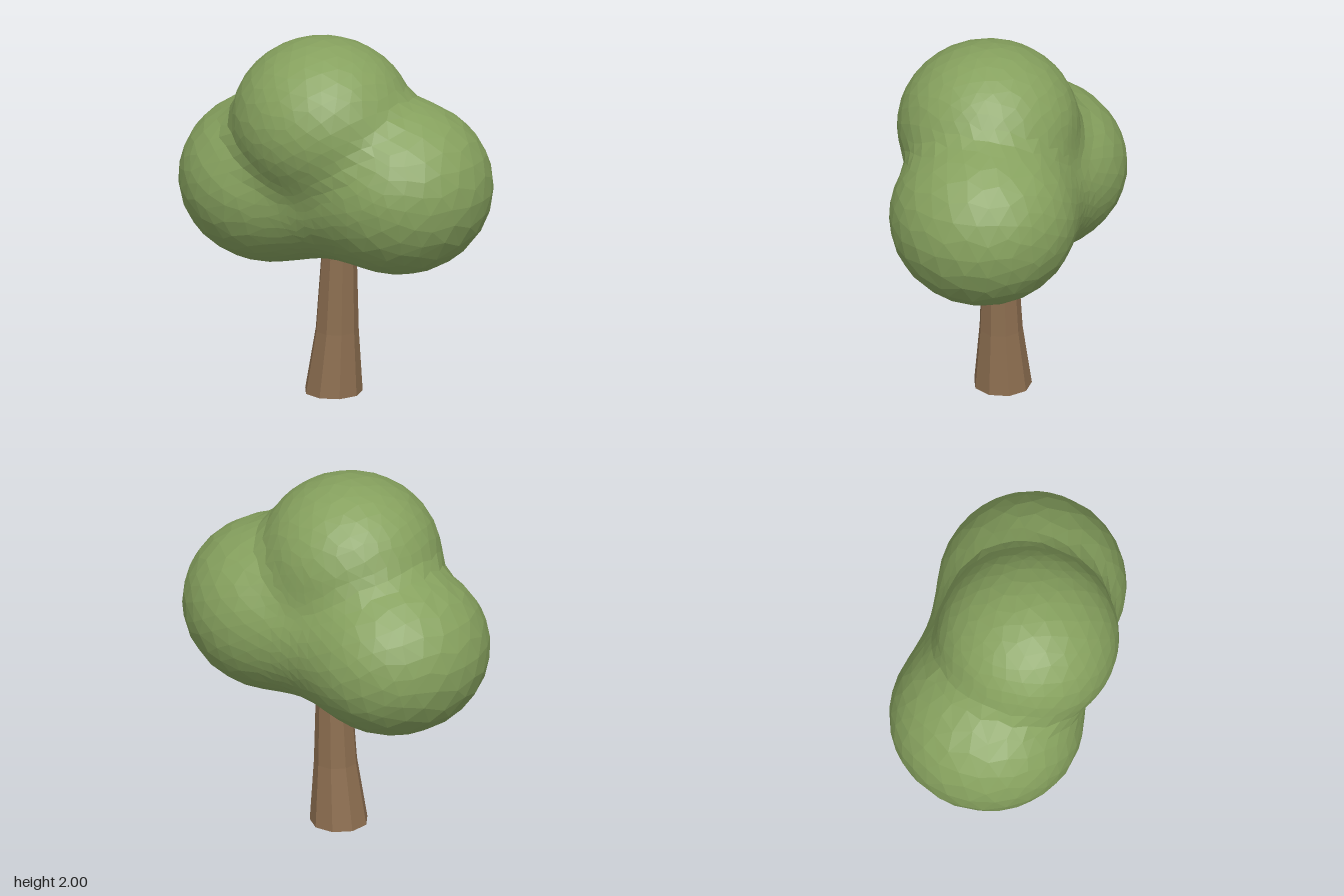
import * as THREE from 'three';

// Foliage lobes: centre, radii and how softly each merges with those before it
const LOBES = [
  { c: [-0.385, 1.15, 0], r: [0.51, 0.465, 0.525], blend: 0 },
  { c: [0.385, 1.21, -0.065], r: [0.51, 0.475, 0.505], blend: 0.34 },
  { c: [-0.01, 1.545, 0.08], r: [0.495, 0.455, 0.49], blend: 0.09 },
];

const lobeDistance = (p, { c, r }) =>
  (Math.hypot((p.x - c[0]) / r[0], (p.y - c[1]) / r[1], (p.z - c[2]) / r[2]) - 1) * 0.49;

function smoothMin(a, b, blend) {
  const h = Math.max(blend - Math.abs(a - b), 0);
  return Math.min(a, b) - (h > 0 ? (h * h) / (4 * blend) : 0);
}

const canopyDistance = (p) =>
  LOBES.reduce((d, lobe) => smoothMin(d, lobeDistance(p, lobe), lobe.blend), 10);

// Faceted sphere pushed out until it meets the blended lobes
function canopyGeometry() {
  const geo = new THREE.IcosahedronGeometry(1, 8);
  const pos = geo.attributes.position;
  const centre = new THREE.Vector3(0, 1.3, 0.01);
  const dir = new THREE.Vector3();
  const p = new THREE.Vector3();
  for (let i = 0; i < pos.count; i++) {
    dir.fromBufferAttribute(pos, i);
    // slight unevenness of the facets
    const { x, y, z } = dir;
    dir.x += 0.022 * Math.sin(23 * y + 17 * z);
    dir.y += 0.022 * Math.sin(21 * z + 19 * x);
    dir.z += 0.022 * Math.sin(25 * x + 16 * y);
    dir.normalize();
    let inside = 0;
    let outside = 1.3;
    for (let k = 0; k < 30; k++) {
      const mid = (inside + outside) / 2;
      p.copy(centre).addScaledVector(dir, mid);
      if (canopyDistance(p) < 0) inside = mid;
      else outside = mid;
    }
    p.copy(centre).addScaledVector(dir, inside);
    pos.setXYZ(i, p.x, p.y, p.z);
  }
  geo.computeVertexNormals();
  return geo;
}

// Nine-sided open tube whose rings taper and lean slightly
function trunkGeometry() {
  const rings = [
    { y: 0, x: -0.003, r: 0.158 },
    { y: 0.35, x: 0.02, r: 0.118 },
    { y: 1.0, x: 0.04, r: 0.086 },
  ];
  const geo = new THREE.CylinderGeometry(1, 1, 2, 9, 2, true, THREE.MathUtils.degToRad(7));
  const pos = geo.attributes.position;
  for (let i = 0; i < pos.count; i++) {
    const ring = rings[Math.round(pos.getY(i) + 1)];
    pos.setXYZ(i, ring.x + pos.getX(i) * ring.r, ring.y, pos.getZ(i) * ring.r - 0.006);
  }
  geo.computeVertexNormals();
  return geo;
}

export function createModel() {
  const leaf = new THREE.MeshStandardMaterial({ color: 0x86a15e });
  leaf.name = 'leaf green';
  leaf.flatShading = true;
  const bark = new THREE.MeshStandardMaterial({ color: 0x8c6e50, side: THREE.DoubleSide });
  bark.name = 'bark brown';
  bark.flatShading = true;

  const tree = new THREE.Group();
  tree.name = 'tree';
  const trunk = new THREE.Mesh(trunkGeometry(), bark);
  trunk.name = 'trunk';
  const canopy = new THREE.Mesh(canopyGeometry(), leaf);
  canopy.name = 'canopy';
  tree.add(trunk, canopy);
  return tree;
}
